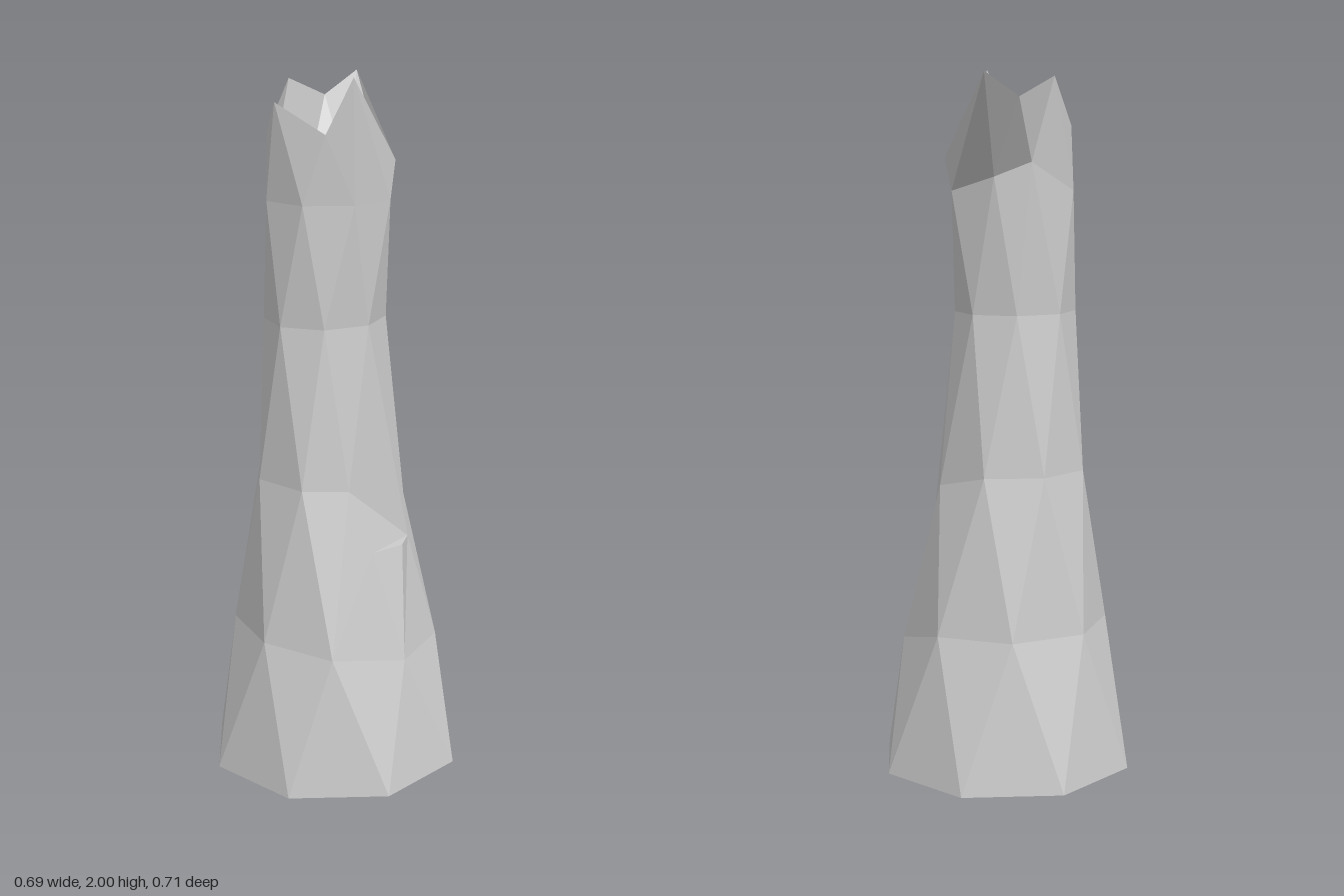
import * as THREE from 'three';

const SIDES = 8;
const wrap = (k) => (k + SIDES) % SIDES;

// One ring of the trunk; fixes replaces single corners of the regular octagon
function ring(y, rx, rz, cx, cz, phase, fixes = {}) {
  return Array.from({ length: SIDES }, (_, k) => {
    const a = ((k + phase) / SIDES) * Math.PI * 2;
    return fixes[k] || [cx + rx * Math.cos(a), y, cz + rz * Math.sin(a)];
  });
}

function facetMesh(name, triangles) {
  const geometry = new THREE.BufferGeometry();
  geometry.setAttribute('position', new THREE.Float32BufferAttribute(triangles.flat(2), 3));
  geometry.computeVertexNormals();
  const material = new THREE.MeshStandardMaterial({
    color: 0xcccccc, flatShading: true, side: THREE.DoubleSide,
  });
  const mesh = new THREE.Mesh(geometry, material);
  mesh.name = name;
  return mesh;
}

export function createModel() {
  const group = new THREE.Group();
  group.name = 'hollowTrunk';

  // Rings alternate by half a step, so the bark forms long diamonds
  const rings = [
    ring(0, 0.372, 0.376, 0, 0.007, 0.5),
    ring(0.42, 0.29, 0.292, 0, 0.01, 0, {
      0: [0.285, 0.36, 0.02], 1: [0.2, 0.4, 0.232], 7: [0.22, 0.36, -0.195],
    }),
    ring(0.87, 0.218, 0.222, -0.01, 0.015, 0.5, {
      0: [0.15, 0.86, 0.11], 6: [0.08, 0.83, -0.185], 7: [0.18, 0.68, -0.11],
    }),
    ring(1.32, 0.165, 0.18, -0.025, 0.02, 0),
    ring(1.66, 0.178, 0.19, -0.02, 0.01, 0.5, {
      4: [-0.175, 1.74, -0.085], 5: [-0.1, 1.7, -0.155],
    }),
    // Broken rim: jagged teeth, one of them bent outward at the back
    [
      [0.155, 2, 0.1], [0.1, 1.85, 0.15], [-0.04, 1.93, 0.2], [-0.12, 1.84, 0.15],
      [-0.2, 1.97, -0.02], [-0.23, 1.91, -0.2], [-0.25, 1.97, -0.36], [0.06, 1.75, -0.18],
    ],
  ];

  // Bark wall, open at both ends
  const wall = [];
  for (let i = 0; i + 1 < rings.length; i++) {
    const low = rings[i], up = rings[i + 1], s = i % 2 === 0 ? 1 : 0;
    for (let k = 0; k < SIDES; k++) {
      const right = up[wrap(k + s - 1)], left = up[wrap(k + s)];
      wall.push([low[k], left, low[wrap(k + 1)]], [low[k], right, left]);
    }
  }
  group.add(facetMesh('trunkWall', wall));

  // Split in the bark: a raised lip with a flat ledge
  const [root, side] = rings[1], corner = rings[2][7];
  const lipFront = [0.205, 0.68, 0.07], lipBack = [0.22, 0.68, -0.04];
  group.add(facetMesh('barkLip', [
    [root, lipFront, side], [root, lipBack, lipFront],
    [root, corner, lipBack], [lipFront, lipBack, corner],
  ]));

  return group;
}
